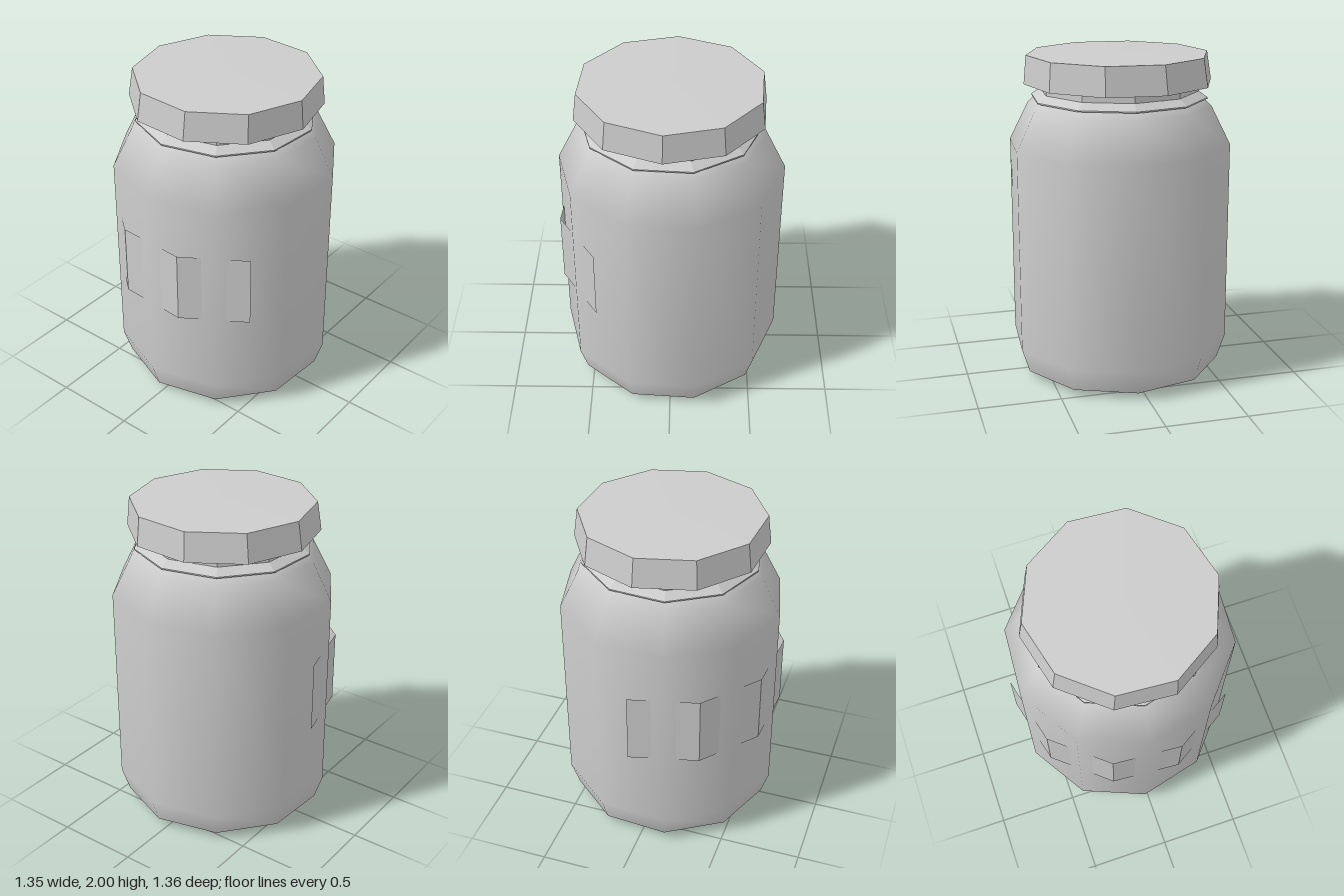
import * as THREE from 'three';

const SIDES = 10;
const rad = THREE.MathUtils.degToRad;
const TURN = rad(-4); // twist of the ten-sided jar about its axis
const CENTRE_X = 0.0125;

const grey = new THREE.MeshStandardMaterial({ color: 0xcccccc, side: THREE.DoubleSide });
grey.name = 'plain grey';

// Revolves a [radius, height] profile; flat parts get one normal per face.
function turned(name, profile, { flat = false, start = TURN, sides = SIDES, sweep = Math.PI * 2 } = {}) {
  const points = profile.map(([r, y]) => new THREE.Vector2(r, y));
  let geometry = new THREE.LatheGeometry(points, sides, start, sweep);
  if (flat) {
    geometry = geometry.toNonIndexed();
    geometry.computeVertexNormals();
  }
  const mesh = new THREE.Mesh(geometry, grey);
  mesh.name = name;
  mesh.position.x = CENTRE_X;
  return mesh;
}

export function createModel() {
  const jar = new THREE.Group();
  jar.name = 'jar';

  // Smooth body, with a separate shallow base to keep its rim sharp
  jar.add(turned('body', [[0.634, 0.043], [0.683, 0.195], [0.683, 1.445], [0.565, 1.68], [0.515, 1.725]]));
  jar.add(turned('base', [[0, 0], [0.634, 0.043]], { flat: true }));

  // Collar ring and neck under the lid
  jar.add(turned('collar', [[0.5, 1.72], [0.541, 1.722], [0.541, 1.73], [0.487, 1.768]], { flat: true }));
  jar.add(turned('neck', [[0.487, 1.76], [0.487, 1.83]], { flat: true }));

  // Tapered lid, half a side out of step with the body, its top shifted slightly
  const lid = turned('lid', [[0, 1.817], [0.578, 1.817], [0.556, 1.99], [0, 2]],
    { flat: true, start: TURN + Math.PI / SIDES });
  const position = lid.geometry.attributes.position;
  for (let i = 0; i < position.count; i++) {
    if (position.getY(i) > 1.9) position.setX(i, position.getX(i) + 0.006);
  }
  lid.geometry.computeVertexNormals();
  jar.add(lid);

  // Paper-thin label wrapped round the front, its corners standing out of the body
  jar.add(turned('label', [[0.693, 0.685], [0.693, 1.125]],
    { flat: true, start: rad(-94), sides: 4, sweep: rad(144) }));

  return jar;
}
